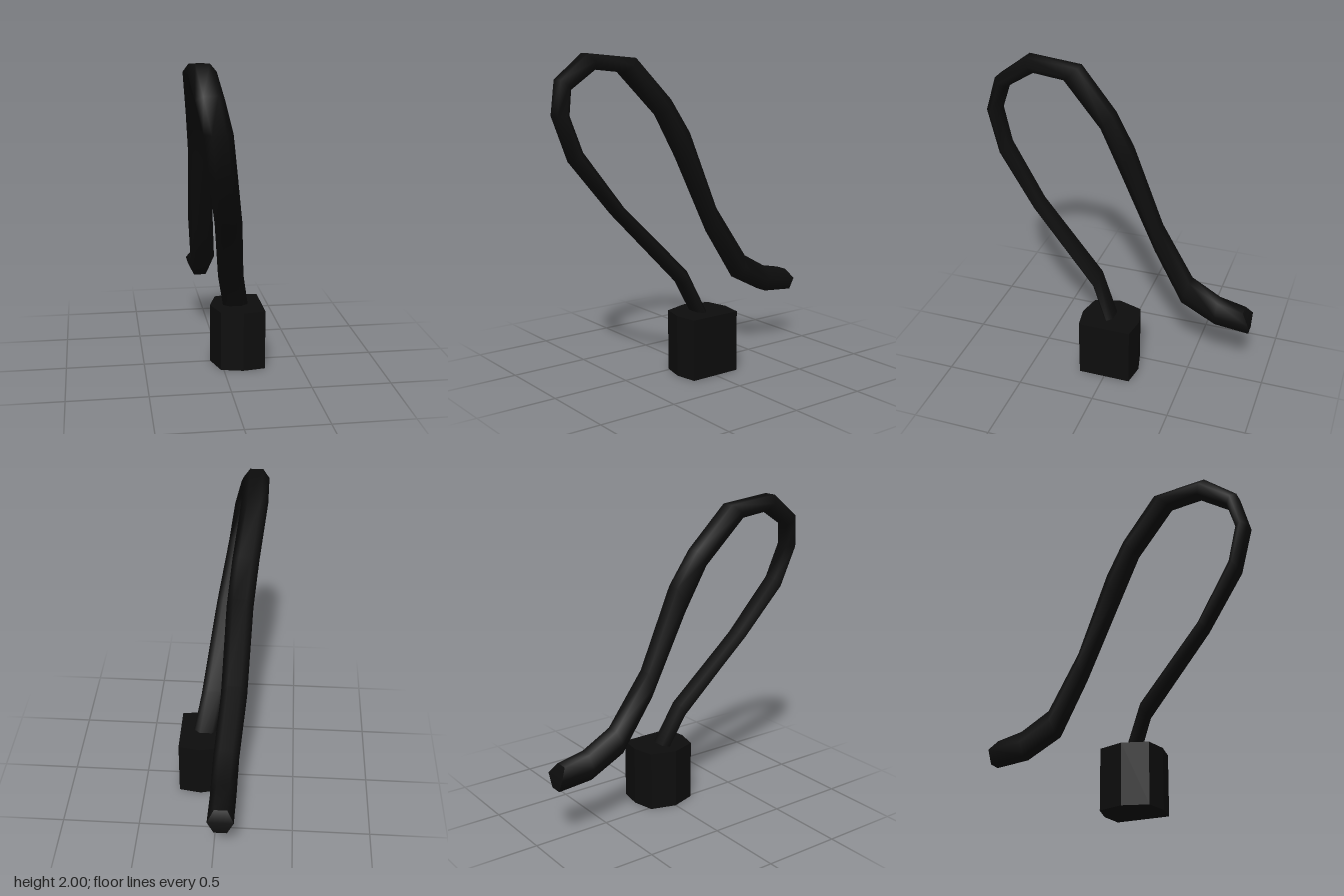
import * as THREE from 'three';

const black = new THREE.MeshStandardMaterial({ color: 0x0d0d0d });
black.name = 'matte black';

// Hexagonal cross-sections along the cable: x centre, then z, y on the outside and inside of the loop
const SECTIONS = [
  [0.115, 0.0, 0.28, -0.065, 0.29],
  [0.05, 0.13, 0.578, 0.093, 0.653],
  [-0.025, 0.555, 1.045, 0.51, 1.093],
  [-0.09, 0.804, 1.374, 0.745, 1.432],
  [-0.125, 0.889, 1.645, 0.81, 1.645],
  [-0.165, 0.84, 1.85, 0.772, 1.793],
  [-0.185, 0.64, 2.0, 0.59, 1.905],
  [-0.185, 0.3, 1.968, 0.39, 1.883],
  [-0.145, 0.066, 1.708, 0.14, 1.613],
  [-0.12, -0.061, 1.496, 0.0, 1.337],
  [-0.1, -0.263, 0.992, -0.236, 0.833],
  [-0.065, -0.48, 0.653, -0.432, 0.5],
  [-0.06, -0.67, 0.546, -0.66, 0.382],
  [-0.055, -0.84, 0.51, -0.883, 0.362],
];
const HALF_WIDTH = 0.081;
const ACROSS = [1, 0.5, -0.5, -1, -0.5, 0.5];
const LEVEL = [0, 1, 1, 0, -1, -1];

function sectionPoints([x, zo, yo, zi, yi], bulge = 0) {
  return ACROSS.map((a, j) => {
    const t = (LEVEL[j] + 1) / 2;
    const push = LEVEL[j] === 0 ? bulge : 0;
    return [x + a * HALF_WIDTH, yi + (yo - yi) * t + push * 0.5, zi + (zo - zi) * t - push];
  });
}

function cableGeometry() {
  const last = SECTIONS.length - 1;
  const rings = SECTIONS.map((s, i) => sectionPoints(s, i === last ? 0.022 : 0));
  const points = rings.flat();
  const index = [];
  for (let i = 0; i < last; i++) {
    for (let j = 0; j < 6; j++) {
      const a = i * 6 + j, b = i * 6 + ((j + 1) % 6);
      index.push(a, a + 6, b, b, a + 6, b + 6);
    }
  }
  // Free end cap, with its own corners for a crisp edge
  const cap = points.length;
  points.push(...rings[last]);
  for (let j = 1; j < 5; j++) index.push(cap, cap + j + 1, cap + j);

  const geometry = new THREE.BufferGeometry();
  geometry.setAttribute('position', new THREE.Float32BufferAttribute(points.flat(), 3));
  geometry.setIndex(index);
  geometry.computeVertexNormals();
  return geometry;
}

// Upright block with a flat right side and a faceted left side
function baseGeometry() {
  const outline = [
    [0.265, -0.17], [0.265, 0.17], [0.122, 0.193], [-0.018, 0.16],
    [-0.068, 0], [-0.018, -0.16], [0.122, -0.193],
  ].map(([x, y]) => new THREE.Vector2(x, y));
  const geometry = new THREE.ExtrudeGeometry(new THREE.Shape(outline), { depth: 0.387, bevelEnabled: false });
  return geometry.rotateX(-Math.PI / 2);
}

export function createModel() {
  const model = new THREE.Group();
  model.name = 'loopedCableOnBase';

  const base = new THREE.Mesh(baseGeometry(), black);
  base.name = 'base';

  const cable = new THREE.Mesh(cableGeometry(), black);
  cable.name = 'cable';

  model.add(base, cable);
  return model;
}
